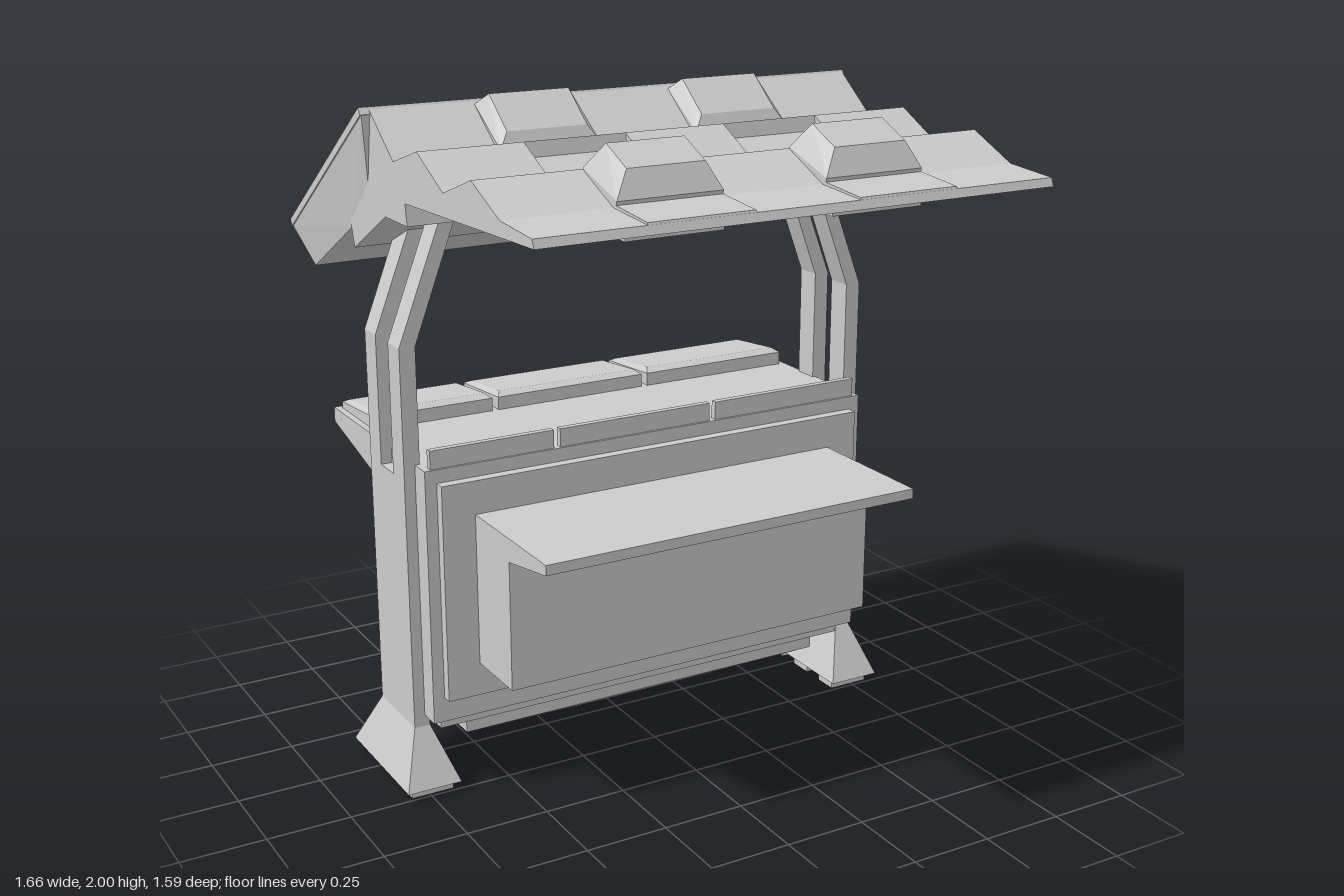
import * as THREE from 'three';
import { ConvexGeometry } from 'three/addons/geometries/ConvexGeometry.js';

export function createModel() {
  const model = new THREE.Group();
  const mat = new THREE.MeshStandardMaterial({ color: 0xcccccc, flatShading: true });

  const add = (name, geo, parent = model) => {
    const mesh = new THREE.Mesh(geo, mat);
    mesh.name = name;
    parent.add(mesh);
    return mesh;
  };
  const toShape = pts => new THREE.Shape(pts.map(p => new THREE.Vector2(p[0], p[1])));
  const rect = (x0, x1, y0, y1) => [[x0, y0], [x1, y0], [x1, y1], [x0, y1]];
  const extrude = (pts, depth, holes = []) => {
    const shape = toShape(pts);
    holes.forEach(h => shape.holes.push(toShape(h)));
    return new THREE.ExtrudeGeometry(shape, { depth, bevelEnabled: false });
  };
  // box given by its limits
  const box = (x0, x1, y0, y1, z0, z1) => new THREE.BoxGeometry(x1 - x0, y1 - y0, z1 - z0)
    .translate((x0 + x1) / 2, (y0 + y1) / 2, (z0 + z1) / 2);
  // side profile of [z, y] points run along x
  const prism = (pts, x0, x1) => extrude(pts, x1 - x0).rotateY(-Math.PI / 2).translate(x1, 0, 0);
  // hull of rectangles or edges: [x0, x1, [[z, y], ...]]
  const hull = sections => new ConvexGeometry(sections.flatMap(([x0, x1, pts]) =>
    pts.flatMap(([z, y]) => [new THREE.Vector3(x0, y, z), new THREE.Vector3(x1, y, z)])));
  // hollow rectangular ring lying flat
  const ring = (x0, x1, y0, y1, z0, z1, t) =>
    extrude(rect(x0, x1, -z1, -z0), y1 - y0, [rect(x0 + t, x1 - t, -z1 + t, -z0 - t)])
      .rotateX(-Math.PI / 2).translate(0, y0, 0);

  // Counter body, with three shallow slots in the back
  add('counterBody', box(-0.735, 0.73, 0.23, 1, -0.35, 0.005));
  const slots = [[0.19, 0.69], [-0.27, 0.16], [-0.69, -0.37]].map(([a, b]) => rect(a, b, 0.72, 0.865));
  add('slottedBack', extrude(rect(-0.735, 0.73, 0.23, 1), 0.043, slots).translate(0, 0, -0.393));
  add('bodyPlinth', box(-0.7, 0.695, 0.193, 0.23, -0.36, -0.03));
  add('keel', hull([
    [-0.61, 0.61, [[-0.05, 0.2], [-0.34, 0.2], [-0.05, 0.148], [-0.34, 0.148]]],
    [-0.12, 0.11, [[-0.13, 0.1], [-0.26, 0.1]]]]));

  // Front panel and serving shelf
  add('frontPanel', box(-0.7, 0.695, 0.305, 0.96, 0, 0.037));
  add('frontShelf', prism([[0.03, 0.405], [0.25, 0.405], [0.25, 0.79], [0.475, 0.83],
    [0.475, 0.86], [0.03, 0.86]], -0.6, 0.595));

  // Back shelf with three sloping pads, and upright boards along the front edge
  add('backShelf', prism([[-0.38, 0.88], [-0.38, 1], [-0.69, 1], [-0.69, 0.955]], -0.735, 0.73));
  [[-0.715, -0.33], [-0.31, 0.19], [0.21, 0.71]].forEach(([a, b]) => {
    add('edgeBoard', box(a, b, 0.99, 1.055, -0.022, -0.002));
    add('shelfPad', hull([
      [a, b, [[-0.415, 0.99], [-0.415, 1.04], [-0.67, 0.99], [-0.67, 1.02]]],
      [a + 0.015, b - 0.015, [[-0.44, 1.052], [-0.65, 1.03]]]]));
  });

  // Side supports: flared foot, pillar, and twin posts that lean inward
  for (const s of [-1, 1]) {
    const side = new THREE.Group();
    side.name = s > 0 ? 'leftSupport' : 'rightSupport';
    model.add(side);
    add('pillar', box(Math.min(s * 0.72, s * 0.768), Math.max(s * 0.72, s * 0.768),
      0.19, 0.957, -0.313, -0.064), side);
    add('flaredFoot', hull([
      [s * 0.66, s * 0.828, [[0.016, 0.03], [-0.403, 0.03]]],
      [s * 0.72, s * 0.768, [[-0.064, 0.195], [-0.313, 0.195]]]]), side);
    for (const z of [-0.05, -0.195, -0.338]) {
      const xs = [s * 0.675, s * 0.805].sort((a, b) => a - b);
      add('footPad', ring(xs[0], xs[1], 0, 0.032, z - 0.038, z + 0.038, 0.022), side);
    }
    for (const z of [-0.143, -0.313]) {
      const post = [[0.768, 0.95], [0.768, 1.34], [0.61, 1.75], [0.565, 1.75], [0.72, 1.34], [0.72, 0.95]];
      add('post', extrude(post.map(([x, y]) => [s * x, y]), 0.08).translate(0, 0, z), side);
    }
  }

  // Stepped roof, cut in bays; the tile bays have a sunken middle row
  const under = [[-0.19, 1.965], [-0.36, 1.8], [-0.36, 1.63], [-0.34, 1.57], [-0.1, 1.7],
    [0.05, 1.7], [0.04, 1.76], [0.8, 1.785]];
  const front = [[0.79, 1.808], [0.62, 1.82], [0.46, 1.89], [0.29, 1.83]];
  const back = [[0.13, 1.91], [-0.03, 1.86], [-0.19, 1.98]];
  const sunken = [[0.28, 1.805], [0.14, 1.868]];
  const tiles = [[-0.47, -0.165], [0.145, 0.45]];
  const cuts = [-0.775, ...tiles.flat(), 0.766];
  for (let i = 0; i < cuts.length - 1; i++) {
    const profile = [...under, ...front, ...(i % 2 ? sunken : []), ...back];
    add('roofBay', prism(profile, cuts[i], cuts[i + 1]));
  }

  for (const [a, b] of tiles) {
    // raised roof blocks with chamfered tops
    add('lowerRoofBlock', hull([
      [a, b, [[0.625, 1.795], [0.46, 1.86], [0.637, 1.838], [0.462, 1.894]]],
      [a + 0.045, b - 0.035, [[0.605, 1.91], [0.5, 1.957]]]]));
    add('upperRoofBlock', hull([
      [a, b, [[-0.03, 1.84], [-0.18, 1.94], [-0.014, 1.866], [-0.175, 1.97]]],
      [a + 0.03, b - 0.03, [[-0.035, 1.912], [-0.145, 2]]]]));
    // eave tile and hollow frames under the roof
    add('eaveTile', prism([[0.63, 1.8], [0.797, 1.79], [0.787, 1.814], [0.63, 1.828]], a, b));
    for (const z of [0.2, 0.51])
      add('underRoofFrame', ring(a + 0.02, b, 1.737, 1.785, z, z + 0.13, 0.03));
  }

  // Back roof panel: tapered tray carrying a raised frame of five bays
  add('backRoofTray', hull([
    [-0.8, 0.77, [[-0.179, 1.964], [-0.779, 1.554]]],
    [-0.772, 0.768, [[-0.68, 1.45], [-0.36, 1.625], [-0.22, 1.75]]]]));
  const bays = [[-0.764, -0.498], [-0.458, -0.19], [-0.15, 0.115], [0.155, 0.42], [0.46, 0.73]]
    .map(([a, b]) => rect(a, b, 0.05, 0.675));
  const frame = add('backRoofFrame', extrude(rect(-0.804, 0.77, 0, 0.727), 0.022, bays)
    .rotateX(-Math.PI / 2).translate(0, -0.022, 0));
  frame.position.set(0, 1.983, -0.19);
  frame.rotation.x = -Math.atan2(0.41, 0.6);

  return model;
}
